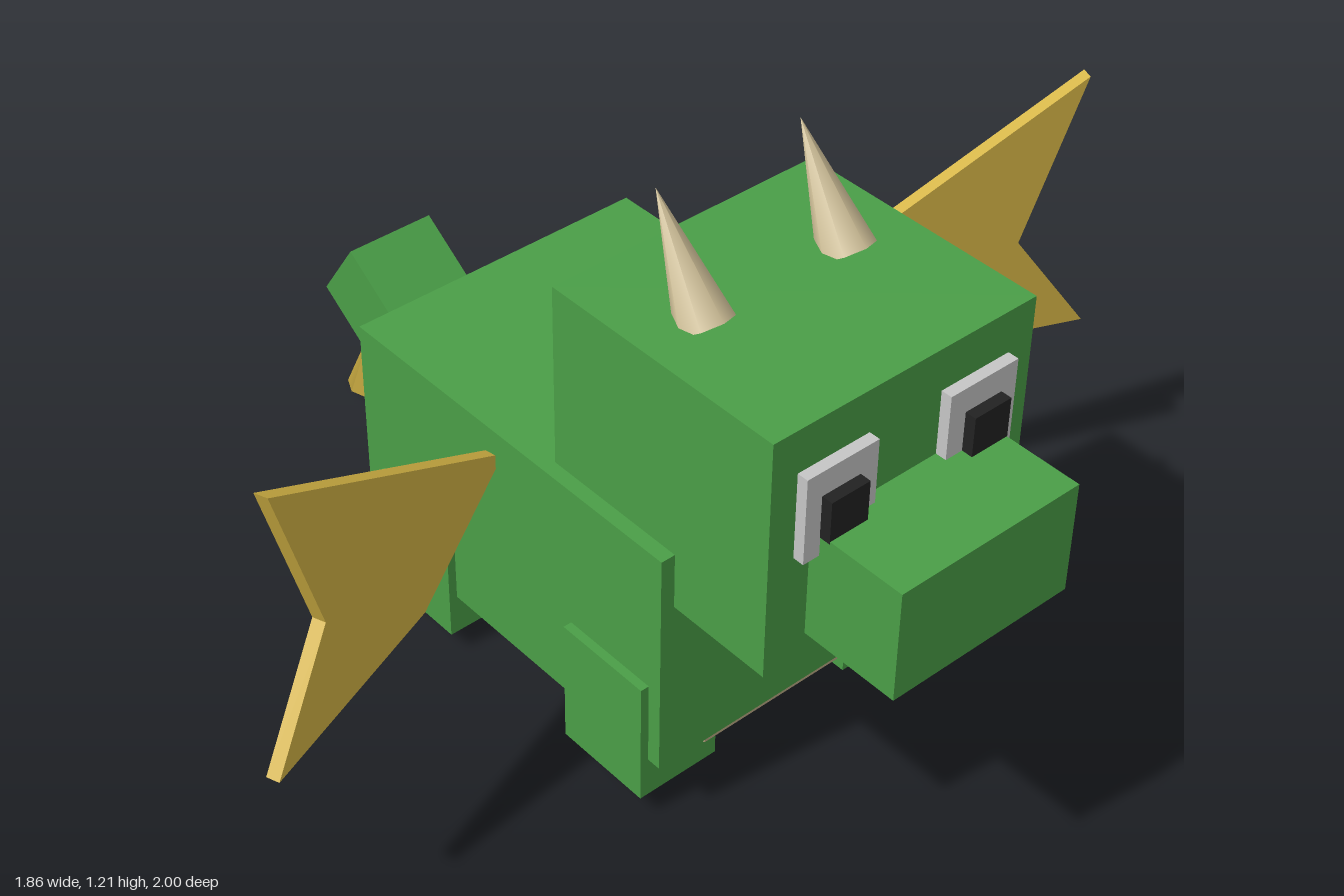
import * as THREE from 'three';

const mat = (name, color) => {
  const m = new THREE.MeshStandardMaterial({ color });
  m.name = name;
  return m;
};

export function createModel() {
  const green = mat('green skin', 0x4a9e47);
  const gold = mat('gold', 0xd4b445);
  const horn = mat('horn ivory', 0xd2c29a);
  const belly = mat('belly tan', 0xbbaa84);
  const white = mat('eye white', 0xc6c6c6);
  const black = mat('pupil black', 0x222222);

  const model = new THREE.Group();
  model.name = 'dragon';

  const add = (name, geometry, material, x = 0, y = 0, z = 0) => {
    const mesh = new THREE.Mesh(geometry, material);
    mesh.name = name;
    mesh.position.set(x, y, z);
    model.add(mesh);
    return mesh;
  };

  // Box given by its extents along each axis
  const box = (name, material, [x0, x1], [y0, y1], [z0, z1]) =>
    add(name, new THREE.BoxGeometry(x1 - x0, y1 - y0, z1 - z0), material,
      (x0 + x1) / 2, (y0 + y1) / 2, (z0 + z1) / 2);

  // Body, belly plate, head and snout; the head looks along +x
  box('body', green, [-0.37, 0.495], [0.14, 0.64], [-0.33, 0.33]);
  box('bellyPlate', belly, [-0.12, 0.495], [0.134, 0.142], [-0.22, 0.22]);
  box('head', green, [0.175, 0.72], [0.52, 1.025], [-0.3, 0.3]);
  box('snout', green, [0.7, 0.93], [0.565, 0.8], [-0.207, 0.207]);

  // Tail block and its pyramid tip
  const tail = add('tail', new THREE.BoxGeometry(0.5, 0.176, 0.2), green, -0.575, 0.295, 0);
  tail.rotation.z = -0.607;
  const tip = add('tailTip', new THREE.ConeGeometry(0.104, 0.211, 4), gold, -0.845, 0.068, 0);
  tip.rotation.z = THREE.MathUtils.degToRad(126.3);

  // Wing outline: distance from the root, height
  const outline = [[0, 0.57], [0.277, 0.405], [0.731, 0.39], [0.566, 0.62], [0.683, 0.98]];
  const wingShape = new THREE.Shape(outline.map(([u, y]) => new THREE.Vector2(u, y)));
  const wingGeometry = new THREE.ExtrudeGeometry(wingShape, { depth: 0.027, bevelEnabled: false });
  wingGeometry.translate(0, 0, -0.0135);

  const hornGeometry = new THREE.ConeGeometry(0.055, 0.244, 8);

  // Paired parts on both sides
  for (const s of [1, -1]) {
    const side = s > 0 ? 'Near' : 'Far';
    const span = (a, b) => (s > 0 ? [a, b] : [-b, -a]);

    box('frontLeg' + side, green, [0.25, 0.465], [0.05, 0.325], span(0.165, 0.348));
    box('backLeg' + side, green, [-0.32, -0.1], [0.05, 0.325], span(0.165, 0.348));
    box('eye' + side, white, [0.71, 0.743], [0.755, 0.935], span(0.083, 0.243));
    box('pupil' + side, black, [0.735, 0.766], [0.795, 0.883], span(0.122, 0.208));

    const h = add('horn' + side, hornGeometry, horn, 0.3435, 1.116, s * 0.163);
    h.rotation.z = 0.548;

    const wing = add('wing' + side, wingGeometry, gold, 0.018, 0, s * 0.31);
    wing.rotation.y = -s * THREE.MathUtils.degToRad(69.5);
  }

  return model;
}
